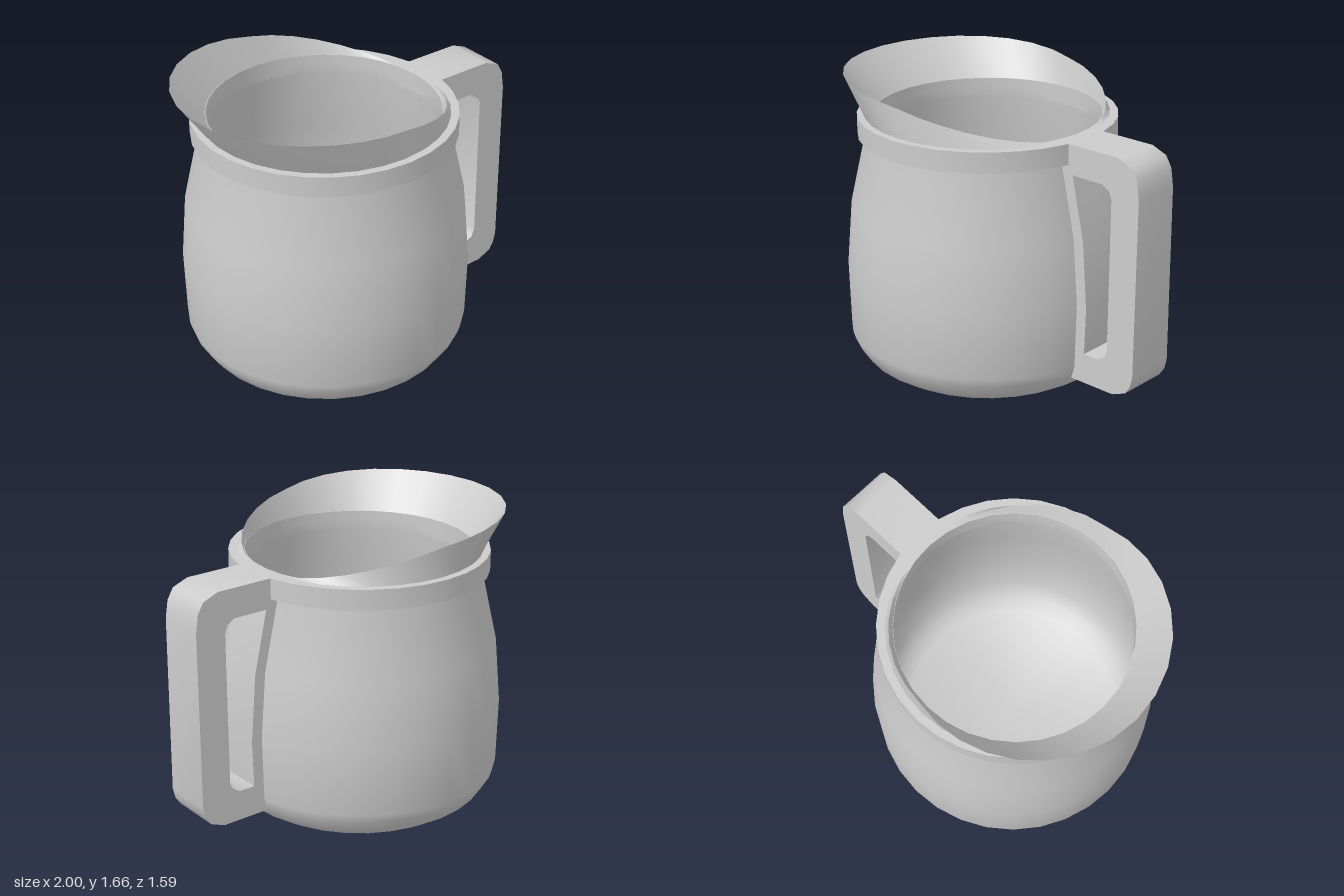
import * as THREE from 'three';
import { toCreasedNormals } from 'three/addons/utils/BufferGeometryUtils.js';

const SEGMENTS = 32;
const AXIS_X = -0.17; // the jug's own axis, shifted to make room for the handle
const material = new THREE.MeshStandardMaterial({ color: 0xcccccc, side: THREE.DoubleSide });

const points = (list) => list.map(([x, y]) => new THREE.Vector2(x, y));
const lathe = (list) => new THREE.LatheGeometry(points(list), SEGMENTS);

function part(name, geometry, x = 0) {
  const mesh = new THREE.Mesh(toCreasedNormals(geometry, 0.7), material);
  mesh.name = name;
  mesh.position.x = x;
  return mesh;
}

// Wedge-shaped wall rising from the collar, its rim flared toward -x
function spoutGeometry() {
  const geometry = lathe([[0.675, 1.44], [0.675, 1.5], [0.63, 1.44]]);
  const pos = geometry.attributes.position;
  for (let i = 1; i < pos.count; i += 3) {
    const angle = Math.atan2(pos.getZ(i), -pos.getX(i));
    const c = Math.cos(angle);
    const radius = 0.675 + (c > 0 ? 0.155 : 0.035) * c;
    const x = -radius * c;
    const along = Math.max(0, (x + AXIS_X + 1) / 1.46);
    const y = Math.max(1.44, 1.66 - 0.22 * along ** 2.5);
    pos.setXYZ(i, x, y, radius * Math.sin(angle));
  }
  return geometry;
}

// Handle loop with a strap that follows the body
function handleGeometry() {
  const shape = new THREE.Shape(points([
    [0.5, 1.445], [0.86, 1.445], [0.95, 1.41], [0.985, 1.35], [1, 1.25],
    [1, 0.26], [0.985, 0.2], [0.955, 0.155], [0.87, 0.12],
    [0.585, 0.12], [0.6, 0.2], [0.6, 0.56], [0.57, 0.93], [0.49, 1.33],
  ]));
  shape.holes.push(new THREE.Path(points([
    [0.565, 1.28], [0.645, 0.93], [0.677, 0.55], [0.67, 0.29],
    [0.765, 0.29], [0.808, 0.315], [0.825, 0.36],
    [0.825, 1.21], [0.808, 1.255], [0.765, 1.28],
  ])));
  const geometry = new THREE.ExtrudeGeometry(shape, { depth: 0.29, bevelEnabled: false });
  geometry.translate(0, 0, -0.145);
  // Slightly wider toward the foot
  const pos = geometry.attributes.position;
  for (let i = 0; i < pos.count; i++) {
    pos.setZ(i, pos.getZ(i) * (1.04 - 0.05 * pos.getY(i)));
  }
  return geometry;
}

export function createModel() {
  const jug = new THREE.Group();
  jug.name = 'jug';

  // Hollow body: outer wall up, inner wall back down to the floor
  jug.add(part('body', lathe([
    [0, 0], [0.635, 0], [0.72, 0.055], [0.775, 0.14], [0.79, 0.19],
    [0.797, 0.56], [0.765, 0.93], [0.675, 1.33], [0.675, 1.4],
    [0.63, 1.4], [0.63, 1.33], [0.725, 0.93], [0.755, 0.56], [0.75, 0.2],
    [0.69, 0.09], [0.62, 0.05], [0, 0.05],
  ]), AXIS_X));

  // Flat band around the neck
  jug.add(part('collar', lathe([
    [0.63, 1.33], [0.718, 1.33], [0.718, 1.445], [0.63, 1.445], [0.63, 1.33],
  ]), AXIS_X));

  jug.add(part('spout', spoutGeometry(), AXIS_X));
  jug.add(part('handle', handleGeometry()));
  return jug;
}
